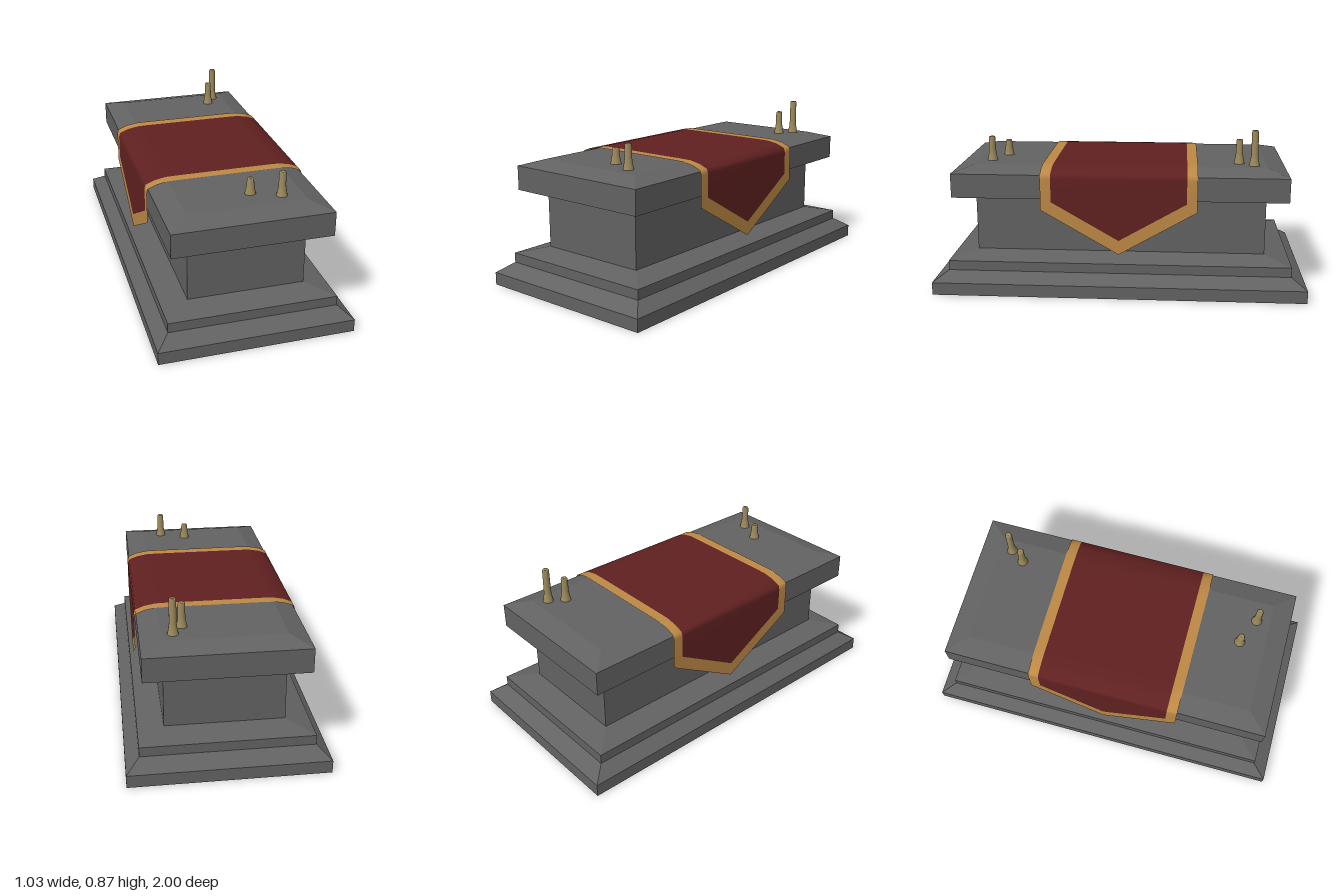
import * as THREE from 'three';

const material = (name, color, side = THREE.FrontSide) => {
  const m = new THREE.MeshStandardMaterial({ color, side });
  m.name = name;
  return m;
};

// Rectangular loft: each ring is [halfX, halfZ, y], bottom to top, closed at both ends
function rectLoft(rings) {
  const corners = [[1, 1], [1, -1], [-1, -1], [-1, 1]];
  const point = ([hx, hz, y], i) => [corners[i % 4][0] * hx, y, corners[i % 4][1] * hz];
  const pos = [];
  const quad = (a, b, c, d) => pos.push(...a, ...b, ...c, ...a, ...c, ...d);
  for (let r = 0; r < rings.length - 1; r++) {
    for (let i = 0; i < 4; i++) {
      quad(point(rings[r], i), point(rings[r], i + 1), point(rings[r + 1], i + 1), point(rings[r + 1], i));
    }
  }
  const first = rings[0], last = rings[rings.length - 1];
  quad(...[3, 2, 1, 0].map(i => point(first, i)));
  quad(...[0, 1, 2, 3].map(i => point(last, i)));
  const g = new THREE.BufferGeometry();
  g.setAttribute('position', new THREE.Float32BufferAttribute(pos, 3));
  g.computeVertexNormals();
  return g;
}

// Smooth ribbon between two edge lines of equal length
function ribbon(near, far) {
  const pos = [], index = [];
  near.forEach((p, i) => {
    pos.push(...p, ...far[i]);
    if (i > 0) {
      const a = 2 * (i - 1);
      index.push(a, a + 2, a + 1, a + 1, a + 2, a + 3);
    }
  });
  const g = new THREE.BufferGeometry();
  g.setAttribute('position', new THREE.Float32BufferAttribute(pos, 3));
  g.setIndex(index);
  g.computeVertexNormals();
  return g;
}

// Cloth edge from the left tip over the slab to the right tip
function clothEdge(halfZ, cornerY, tipY) {
  const half = [
    [-0.425, tipY, 0], [-0.425, cornerY, halfZ], [-0.425, 0.63, halfZ],
    [-0.418, 0.655, halfZ], [-0.37, 0.674, halfZ], [-0.31, 0.685, halfZ], [-0.25, 0.686, halfZ],
  ];
  return [...half, ...half.map(([x, y, z]) => [-x, y, z]).reverse()];
}
const flipZ = line => line.map(([x, y, z]) => [x, y, -z]);

// Candle with a flared foot and a shallow dished top
function candle(height) {
  const profile = [
    [0.029, 0], [0.025, 0.018], [0.021, 0.04], [0.019, 0.06],
    [0.018, height - 0.006], [0.015, height], [0.009, height], [0, height - 0.006],
  ].map(([r, y]) => new THREE.Vector2(r, y));
  return new THREE.LatheGeometry(profile, 14);
}

export function createModel() {
  const stone = material('stone', 0x626262);
  const red = material('redCloth', 0x602020, THREE.DoubleSide);
  const gold = material('goldTrim', 0xbd8945, THREE.DoubleSide);
  const wax = material('candleWax', 0x9c8a5c);

  const model = new THREE.Group();
  model.name = 'altar';
  const add = (name, geometry, mat) => {
    const mesh = new THREE.Mesh(geometry, mat);
    mesh.name = name;
    model.add(mesh);
    return mesh;
  };

  // Stone body: stepped plinth, block and bevelled slab
  add('plinth', rectLoft([
    [0.513, 1, 0], [0.513, 1, 0.068], [0.444, 0.92, 0.12], [0.444, 0.92, 0.172], [0.31, 0.785, 0.202],
  ]), stone);
  add('block', rectLoft([[0.31, 0.785, 0.2], [0.31, 0.785, 0.52]]), stone);
  add('slab', rectLoft([
    [0.416, 0.896, 0.518], [0.416, 0.896, 0.648], [0.31, 0.785, 0.681],
  ]), stone);

  // Altar cloth with a trim along both edges
  const outer = clothEdge(0.416, 0.46, 0.22);
  const inner = clothEdge(0.36, 0.505, 0.297);
  add('cloth', ribbon(inner, flipZ(inner)), red);
  add('trimFront', ribbon(outer, inner), gold);
  add('trimBack', ribbon(flipZ(inner), flipZ(outer)), gold);

  // Candles: x, z, height
  [[0.055, 0.647, 0.085], [0.2, 0.71, 0.132], [0.2, -0.64, 0.132], [0.25, -0.718, 0.191]]
    .forEach(([x, z, h], i) => add(`candle${i + 1}`, candle(h), wax).position.set(x, 0.68, z));

  return model;
}
